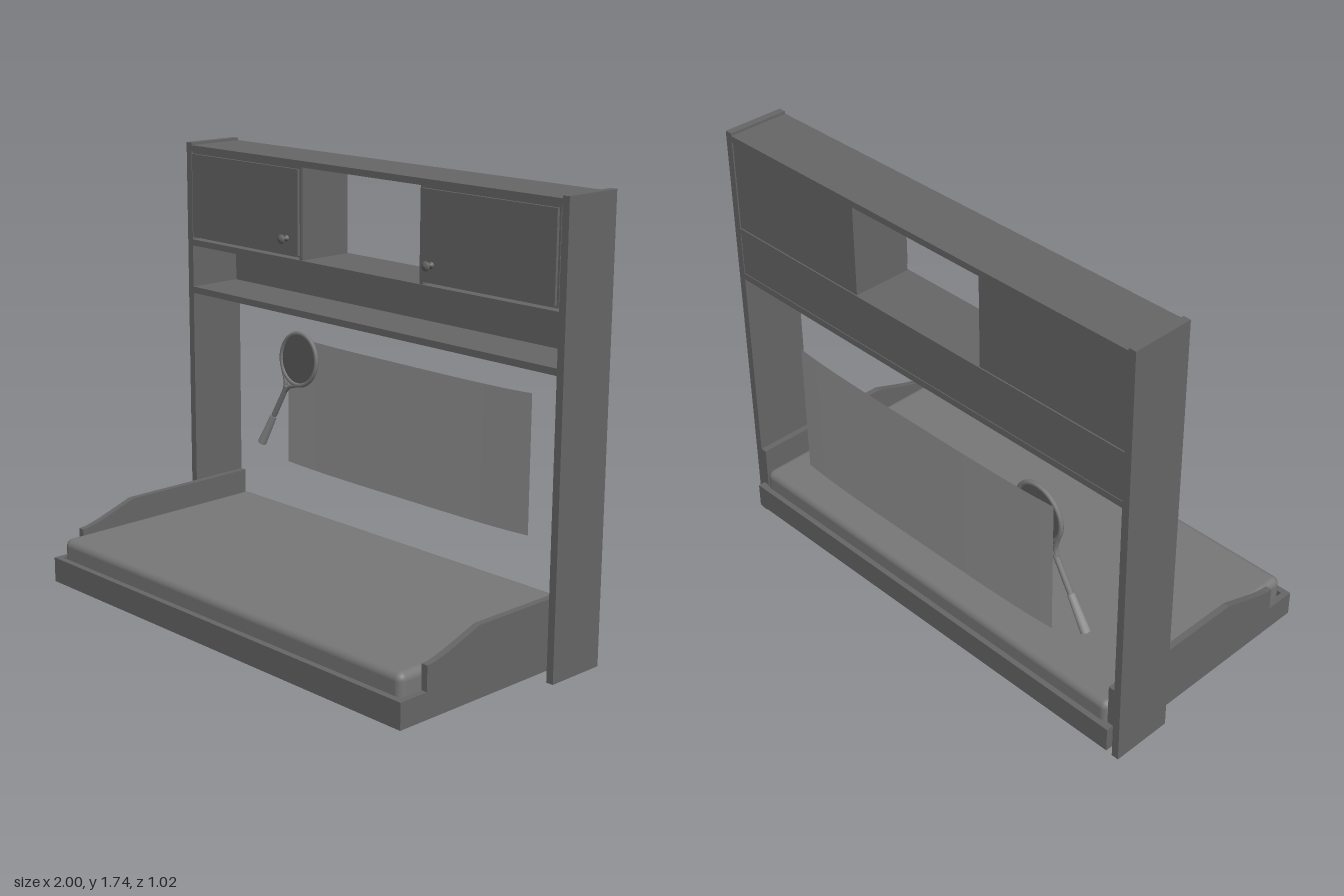
import * as THREE from 'three';
import { RoundedBoxGeometry } from 'three/addons/geometries/RoundedBoxGeometry.js';

const paint = (color, side = THREE.FrontSide) => new THREE.MeshStandardMaterial({ color, side });
const board = paint(0x666666);
const fabric = paint(0x777777);
const paper = paint(0x939393, THREE.DoubleSide);
const hoopPaint = paint(0x7c7c7c);
const stringPaint = paint(0x5c5c5c);
const gripPaint = paint(0x909090);

function add(parent, name, geometry, mat = board) {
  const mesh = new THREE.Mesh(geometry, mat);
  mesh.name = name;
  parent.add(mesh);
  return mesh;
}

// Box given by its lower and upper limits on each axis
function box(parent, name, x0, x1, y0, y1, z0, z1, mat = board) {
  const mesh = add(parent, name, new THREE.BoxGeometry(x1 - x0, y1 - y0, z1 - z0), mat);
  mesh.position.set((x0 + x1) / 2, (y0 + y1) / 2, (z0 + z1) / 2);
  return mesh;
}

function group(parent, name) {
  const g = new THREE.Group();
  g.name = name;
  parent.add(g);
  return g;
}

// Rectangular ring lying in the XY plane
function ringShape(w, h, border) {
  const rect = (target, a, b) => target.moveTo(-a, -b).lineTo(a, -b).lineTo(a, b).lineTo(-a, b).closePath();
  const shape = rect(new THREE.Shape(), w / 2, h / 2);
  shape.holes.push(rect(new THREE.Path(), w / 2 - border, h / 2 - border));
  return shape;
}

function buildBed(root) {
  const bed = group(root, 'bed');
  const frame = add(bed, 'bedFrame', new THREE.ExtrudeGeometry(ringShape(1.94, 1.02, 0.025), { depth: 0.1, bevelEnabled: false }));
  frame.rotation.x = -Math.PI / 2;
  frame.position.y = 0.045;
  box(bed, 'mattressBase', -0.945, 0.945, 0.085, 0.1, -0.485, 0.485, fabric);
  const mattress = add(bed, 'mattress', new RoundedBoxGeometry(1.885, 0.135, 0.97, 5, 0.03), fabric);
  mattress.position.set(0, 0.1575, -0.003);

  // Guard rails with a sloping front end; shape x is the z axis
  const s = new THREE.Shape();
  s.moveTo(-0.48, 0.14).lineTo(0.385, 0.14).lineTo(0.385, 0.24).lineTo(0.36, 0.242);
  s.bezierCurveTo(0.29, 0.255, 0.22, 0.285, 0.13, 0.315);
  s.lineTo(-0.48, 0.315).closePath();
  for (const side of [-1, 1]) {
    const rail = add(bed, side > 0 ? 'leftGuardRail' : 'rightGuardRail',
      new THREE.ExtrudeGeometry(s, { depth: 0.026, bevelEnabled: false, curveSegments: 10 }));
    rail.rotation.y = -Math.PI / 2;
    rail.position.x = side > 0 ? 0.97 : -0.944;
  }
}

function buildCabinet(root, side) {
  const cabinet = group(root, side > 0 ? 'leftCabinet' : 'rightCabinet');
  const span = (name, a, b, ...rest) => box(cabinet, name, Math.min(a * side, b * side), Math.max(a * side, b * side), ...rest);
  span('cabinetDivider', 0.312, 0.33, 1.345, 1.705, -0.475, -0.236);
  span('cabinetBack', 0.33, 0.97, 1.345, 1.705, -0.475, -0.462);
  span('door', 0.325, 0.957, 1.362, 1.697, -0.245, -0.222);

  // Thin trim around the door
  const trim = add(cabinet, 'doorTrim', new THREE.ExtrudeGeometry(ringShape(0.65, 0.35, 0.011), { depth: 0.01, bevelEnabled: false }));
  trim.position.set(0.64 * side, 1.53, -0.243);

  const profile = [[0, -0.01], [0.012, 0], [0.013, 0.005], [0.006, 0.01], [0.006, 0.022], [0.017, 0.027], [0.019, 0.033], [0.014, 0.039], [0, 0.042]];
  const knob = add(cabinet, 'doorKnob', new THREE.LatheGeometry(profile.map(p => new THREE.Vector2(...p)), 20));
  knob.rotation.x = Math.PI / 2;
  knob.position.set(0.385 * side, 1.425, -0.222);
}

function buildRacket(root) {
  const racket = group(root, 'racket');
  racket.position.set(-0.58, 0.87, -0.46);
  racket.rotation.z = -0.522;

  // Oval hoop and string bed
  const hoop = add(racket, 'racketHoop', new THREE.TorusGeometry(0.102, 0.009, 8, 40), hoopPaint);
  hoop.scale.y = 1.1;
  const strings = add(racket, 'racketStrings', new THREE.CylinderGeometry(0.098, 0.098, 0.004, 40), stringPaint);
  strings.rotation.x = Math.PI / 2;
  strings.scale.z = 1.1;

  // Throat arms meeting at the shaft
  for (const side of [-1, 1]) {
    const arm = new THREE.CatmullRomCurve3([[0.05, -0.1], [0.028, -0.12], [0.012, -0.14], [0.003, -0.17]]
      .map(([x, y]) => new THREE.Vector3(x * side, y, 0)));
    add(racket, 'racketThroat', new THREE.TubeGeometry(arm, 12, 0.009, 8), hoopPaint);
  }
  const shaft = add(racket, 'racketShaft', new THREE.CylinderGeometry(0.011, 0.012, 0.18, 12), hoopPaint);
  shaft.position.y = -0.235;
  const grip = add(racket, 'racketGrip', new THREE.CylinderGeometry(0.014, 0.019, 0.15, 12), gripPaint);
  grip.position.y = -0.386;
}

export function createModel() {
  const root = new THREE.Group();
  root.name = 'bedWithOverheadShelf';

  // Upright panels and the boards between them
  box(root, 'leftPanel', 0.97, 1, 0, 1.74, -0.48, -0.23);
  box(root, 'rightPanel', -1, -0.97, 0, 1.74, -0.48, -0.23);
  box(root, 'topBoard', -0.97, 0.97, 1.705, 1.73, -0.48, -0.23);
  box(root, 'cabinetShelf', -0.97, 0.97, 1.32, 1.345, -0.48, -0.23);
  box(root, 'lowerShelf', -0.97, 0.97, 1.122, 1.148, -0.48, -0.23);
  box(root, 'shelfBack', -0.97, 0.97, 1.148, 1.32, -0.477, -0.462);

  for (const side of [-1, 1]) buildCabinet(root, side);
  buildBed(root);

  // Wall sheet whose ends curl slightly
  const sheet = new THREE.PlaneGeometry(1.32, 0.545, 32, 4);
  const p = sheet.attributes.position;
  for (let i = 0; i < p.count; i++) {
    const curl = Math.abs(p.getX(i) / 0.66) ** 4;
    p.setY(i, p.getY(i) + 0.011 * curl);
    p.setZ(i, 0.005 * curl);
  }
  sheet.computeVertexNormals();
  add(root, 'wallSheet', sheet, paper).position.set(-0.01, 0.673, -0.488);

  buildRacket(root);
  return root;
}
